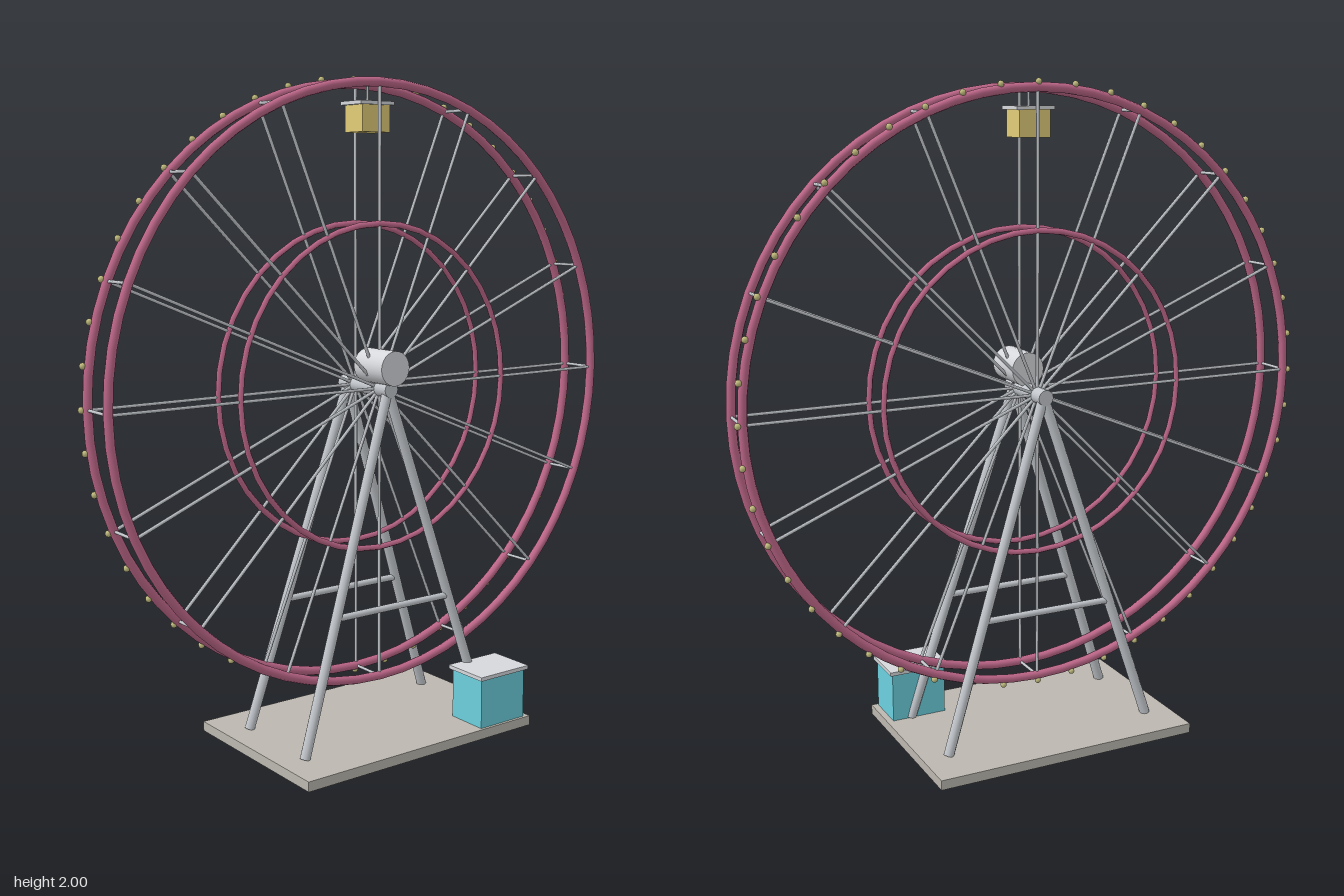
import * as THREE from 'three';

const mat = (name, color) => {
  const m = new THREE.MeshStandardMaterial({ color });
  m.name = name;
  return m;
};

export function createModel() {
  const rose = mat('rose paint', 0xc0688a);
  const steel = mat('light steel', 0xc4c8cd);
  const gold = mat('cabin yellow', 0xe2cd78);
  const bulbYellow = mat('bulb yellow', 0xc4bf80);
  const teal = mat('booth teal', 0x6cd0de);
  const paleGrey = mat('pale grey', 0xd6d8dc);
  const stone = mat('base stone', 0xbcb8b0);

  const root = new THREE.Group();
  root.name = 'ferrisWheel';

  const add = (parent, name, geo, material, x = 0, y = 0, z = 0) => {
    const mesh = new THREE.Mesh(geo, material);
    mesh.name = name;
    mesh.position.set(x, y, z);
    parent.add(mesh);
    return mesh;
  };
  const box = (parent, name, size, pos, material) =>
    add(parent, name, new THREE.BoxGeometry(...size), material, ...pos);
  // Round bar between two points
  const bar = (parent, name, a, b, r, material, sides = 8) => {
    const p = new THREE.Vector3(...a), q = new THREE.Vector3(...b);
    const mesh = add(parent, name, new THREE.CylinderGeometry(r, r, p.distanceTo(q), sides), material);
    mesh.position.copy(p).lerp(q, 0.5);
    mesh.quaternion.setFromUnitVectors(new THREE.Vector3(0, 1, 0), q.sub(p).normalize());
  };

  const hubY = 1.081, rimR = 0.893, rimZ = 0.06;

  // Base slab
  box(root, 'base', [0.845, 0.03, 0.575], [0, 0.015, 0], stone);

  // A-frame supports, front and back
  for (const s of [1, -1]) {
    const frame = new THREE.Group();
    frame.name = s > 0 ? 'frontSupport' : 'backSupport';
    root.add(frame);
    for (const x of [0.34, -0.34])
      bar(frame, 'leg', [x, 0.03, s * 0.15], [0, hubY, s * 0.1], 0.016, steel, 10);
    bar(frame, 'brace', [-0.205, 0.424, s * 0.131], [0.205, 0.424, s * 0.131], 0.011, steel);
  }

  // Axle and motor drum
  bar(root, 'axle', [0, hubY, -0.118], [0, hubY, 0.118], 0.024, steel, 16);
  bar(root, 'motor', [0, 1.146, 0.002], [0, 1.146, 0.137], 0.052, paleGrey, 24);

  // Wheel
  const wheel = new THREE.Group();
  wheel.name = 'wheel';
  wheel.position.y = hubY;
  root.add(wheel);
  for (const z of [rimZ, -rimZ]) {
    add(wheel, 'outerRim', new THREE.TorusGeometry(rimR, 0.014, 8, 64), rose, 0, 0, z);
    add(wheel, 'innerRing', new THREE.TorusGeometry(0.487, 0.009, 6, 40), rose, 0, 0, z);
  }
  for (let i = 0; i < 16; i++) {
    const a = (i / 16) * Math.PI * 2;
    const x = Math.cos(a) * rimR, y = Math.sin(a) * rimR;
    for (const z of [rimZ, -rimZ]) bar(wheel, 'spoke', [0, 0, z], [x, y, z], 0.005, steel, 6);
    bar(wheel, 'rimTie', [x, y, -rimZ], [x, y, rimZ], 0.005, steel, 6);
  }

  // Light bulbs around the back rim
  const bulbGeo = new THREE.SphereGeometry(0.01, 8, 6);
  for (let i = 0; i < 48; i++) {
    const a = (i / 48) * Math.PI * 2;
    add(wheel, 'bulb', bulbGeo, bulbYellow, Math.cos(a) * 0.908, Math.sin(a) * 0.908, -0.066);
  }

  // Hanging cabin
  const cabin = new THREE.Group();
  cabin.name = 'cabin';
  root.add(cabin);
  box(cabin, 'cabinBody', [0.1, 0.078, 0.086], [0, 1.871, 0], gold);
  box(cabin, 'cabinRoof', [0.122, 0.011, 0.1], [0, 1.9155, 0], paleGrey);
  bar(cabin, 'hanger', [0, 1.92, 0], [0, hubY + rimR, 0], 0.004, steel, 6);

  // Ticket booth
  const booth = new THREE.Group();
  booth.name = 'ticketBooth';
  root.add(booth);
  box(booth, 'boothBody', [0.175, 0.155, 0.135], [0.315, 0.1075, 0.211], teal);
  box(booth, 'boothRoof', [0.194, 0.012, 0.154], [0.315, 0.191, 0.211], paleGrey);

  return root;
}
